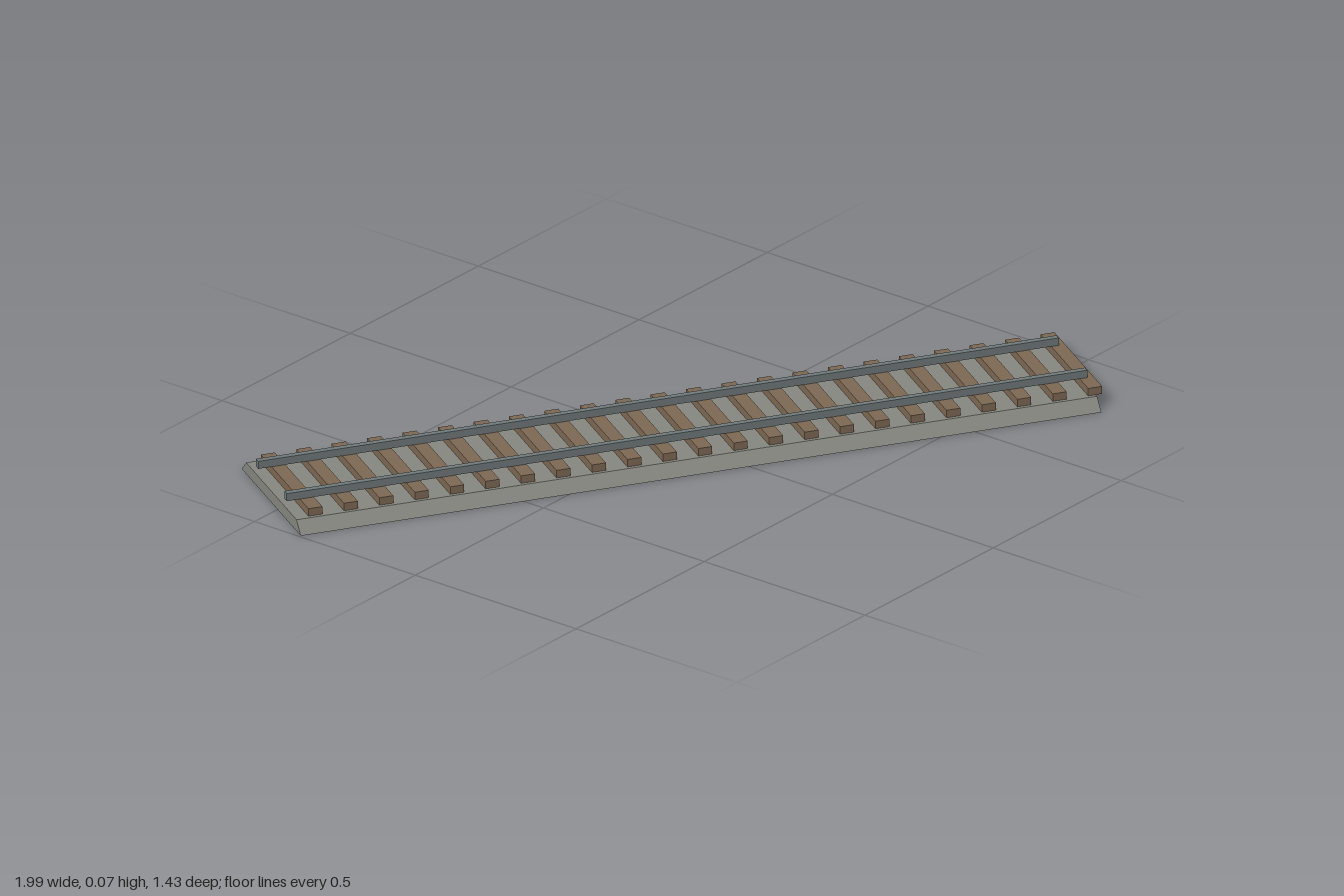
import * as THREE from 'three';

const LENGTH = 2.075;
const HEADING = -THREE.MathUtils.degToRad(31.2);

function material(name, color) {
  const m = new THREE.MeshStandardMaterial({ color });
  m.name = name;
  return m;
}

export function createModel() {
  const model = new THREE.Group();
  model.name = 'railwayTrack';
  const gravel = material('gravel grey', 0x85867f);
  const wood = material('sleeper brown', 0x7d6853);
  const steel = material('rail steel', 0x70797a);

  // the track is built along x, then turned to lie diagonally
  const track = new THREE.Group();
  track.name = 'track';
  track.rotation.y = HEADING;
  model.add(track);

  function add(name, geometry, mat, x, y, z) {
    const mesh = new THREE.Mesh(geometry, mat);
    mesh.name = name;
    mesh.position.set(x, y, z);
    track.add(mesh);
  }

  // ballast bed: sloped long sides, square-cut ends
  const section = new THREE.Shape([
    new THREE.Vector2(-0.207, 0), new THREE.Vector2(0.207, 0),
    new THREE.Vector2(0.177, 0.03), new THREE.Vector2(-0.177, 0.03),
  ]);
  const bed = new THREE.ExtrudeGeometry(section, { depth: LENGTH, bevelEnabled: false });
  bed.translate(0, 0, -LENGTH / 2).rotateY(Math.PI / 2);
  add('ballastBed', bed, gravel, 0, 0, 0);

  // sleepers: the last one straddles the joint at the end of the bed
  const sleeper = new THREE.BoxGeometry(0.036, 0.02, 0.335);
  const count = 23, first = -0.985, last = 1.036;
  for (let i = 0; i < count; i++) {
    add('sleeper', sleeper, wood, first + (last - first) * i / (count - 1), 0.04, 0);
  }

  // pair of rails
  const rail = new THREE.BoxGeometry(LENGTH, 0.02, 0.016);
  for (const side of [-1, 1]) {
    add(side > 0 ? 'frontRail' : 'backRail', rail, steel, 0, 0.06, side * 0.1);
  }
  return model;
}
